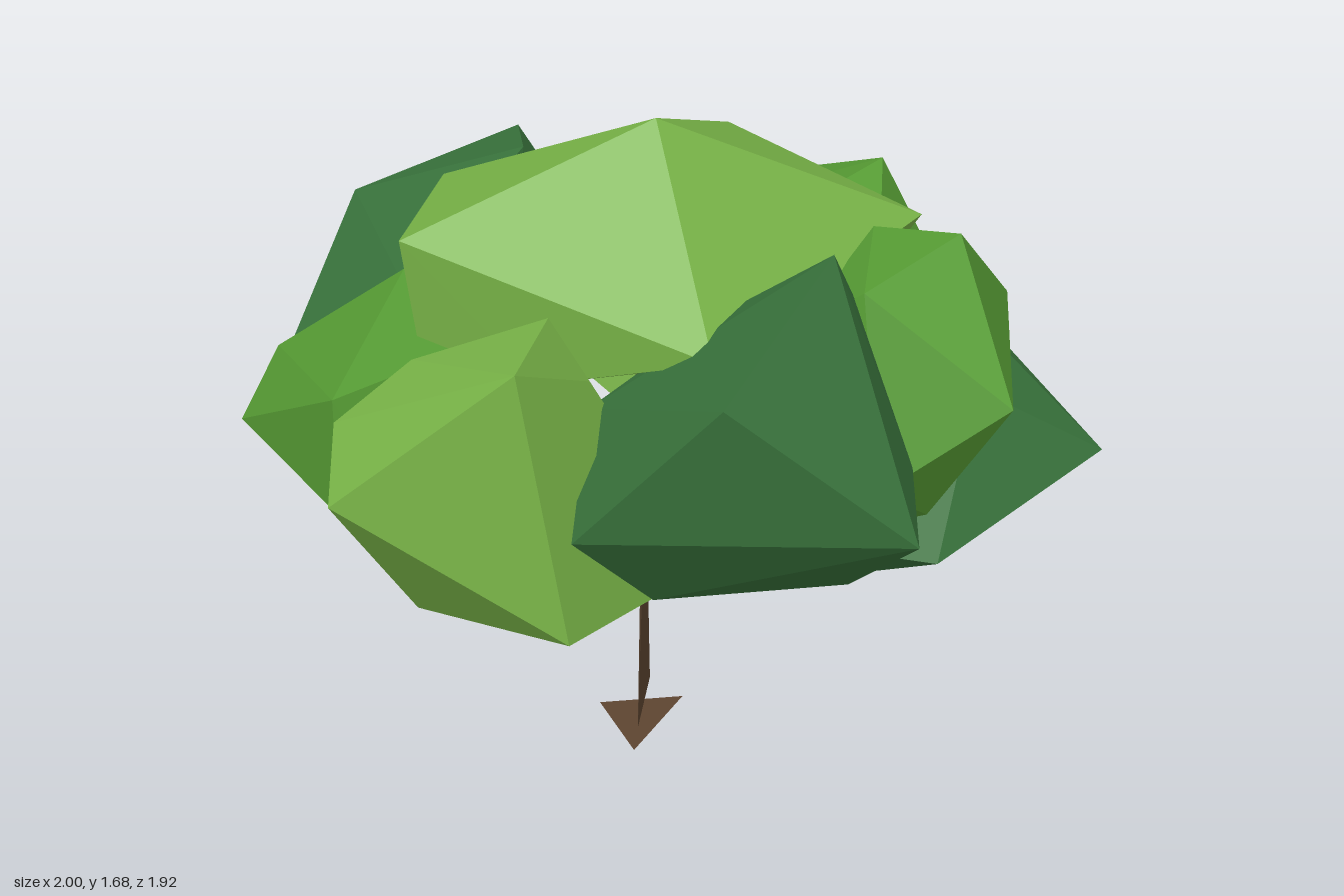
import * as THREE from 'three';
import { ConvexGeometry } from 'three/addons/geometries/ConvexGeometry.js';

const material = (color) => new THREE.MeshStandardMaterial({ color, flatShading: true });
const pine = material(0x37703a);
const green = material(0x559a33);
const lime = material(0x78b347);
const bark = material(0x5c4430);
const vec = (p) => new THREE.Vector3(...p);

// Faceted solid wrapped around a handful of corner points
function hull(name, mat, points) {
  const mesh = new THREE.Mesh(new ConvexGeometry(points.map(vec)), mat);
  mesh.name = name;
  return mesh;
}

// Three-sided tapering branch between two points
function branch(from, to) {
  const a = vec(from), dir = vec(to).sub(a);
  const geo = new THREE.CylinderGeometry(0.008, 0.02, dir.length(), 3);
  const mesh = new THREE.Mesh(geo, bark);
  mesh.name = 'branch';
  mesh.position.copy(a).addScaledVector(dir, 0.5);
  mesh.quaternion.setFromUnitVectors(new THREE.Vector3(0, 1, 0), dir.normalize());
  return mesh;
}

export function createModel() {
  const tree = new THREE.Group();
  tree.name = 'tree';

  // Trunk, a tapered triangular prism
  tree.add(hull('trunk', bark, [
    [-0.09, 0.065, 0.1], [-0.02, 0.065, -0.13], [-0.04, 0.065, -0.12],
    [-0.06, 0.57, 0.025], [-0.04, 0.57, -0.05], [-0.055, 0.57, -0.045],
  ]));

  // Loose triangle on the ground below the trunk
  const base = new THREE.BufferGeometry().setFromPoints(
    [[-0.1, 0, 0.1], [0.06, 0.017, -0.1], [-0.155, 0.022, -0.1]].map(vec));
  base.computeVertexNormals();
  const baseMat = bark.clone();
  baseMat.side = THREE.DoubleSide;
  const baseMesh = new THREE.Mesh(base, baseMat);
  baseMesh.name = 'groundTriangle';
  tree.add(baseMesh);

  // Branches fanning out into the foliage
  for (const tip of [
    [-0.32, 0.9, -0.08], [-0.3, 0.95, 0.25], [0.05, 1.0, 0.3],
    [0.38, 0.95, 0.12], [0.2, 1.0, -0.32], [-0.06, 1.2, -0.05],
  ]) tree.add(branch([-0.05, 0.54, -0.01], tip));

  // Foliage clumps
  tree.add(
    hull('crownFoliage', lime, [
      [-0.05, 1.68, 0.15], [0.58, 1.39, 0.1], [0.26, 1.4, -0.57],
      [-0.47, 1.35, -0.46], [-0.63, 1.45, 0.2], [0, 1.27, 0.57], [-0.6, 1.22, 0.2],
      [0.48, 1.2, -0.1], [0.35, 1.15, -0.38], [-0.35, 1.12, -0.3], [0.3, 1.1, 0.2],
      [-0.35, 1.15, 0.35],
    ]),
    hull('frontFoliage', pine, [
      [0.26, 1.5, 0.56], [-0.34, 0.98, 0.78], [0.36, 1.0, 0.96], [-0.04, 1.31, 0.88],
      [0.43, 1.02, 0.64], [-0.25, 1.12, 0.43], [0.05, 1.3, 0.38], [0.2, 1.35, 0.38],
      [0.33, 1.36, 0.46], [-0.15, 0.77, 0.68], [0.3, 0.73, 0.62], [0, 0.78, 0.4],
    ]),
    hull('leftLowFoliage', pine, [
      [1.0, 0.83, 0.27], [0.81, 0.65, -0.28], [0.81, 1.0, -0.27], [0.72, 1.1, -0.06],
      [0.68, 1.02, 0.28], [0.3, 0.45, 0.1], [0.51, 0.75, 0.6], [0.25, 0.74, 0.45],
      [0.12, 0.74, 0.2], [0.3, 0.9, -0.1], [0.36, 0.65, -0.25],
    ]),
    hull('leftHighFoliage', green, [
      [0.82, 1.15, 0.03], [0.63, 1.17, 0.7], [0.6, 1.44, 0.35], [0.44, 1.41, 0.2],
      [0.22, 1.25, 0.38], [0.5, 0.84, 0.53], [0.64, 1.2, -0.07], [0.36, 0.95, 0.62],
      [0.36, 0.78, 0.46], [0.45, 0.85, 0.05], [0.35, 1.37, 0.48], [0.6, 0.95, 0.48],
    ]),
    hull('backLeftFoliage', green, [
      [0.62, 1.34, -0.41], [0.49, 1.19, -0.77], [0.79, 1.0, -0.36], [0.52, 1.19, -0.03],
      [0.42, 0.57, -0.36], [0.19, 1.1, -0.74], [0.13, 0.68, -0.25], [0.25, 1.2, -0.3],
      [0.6, 0.75, -0.28],
    ]),
    hull('backFoliage', lime, [
      [0.05, 1.24, -0.96], [-0.34, 1.15, -0.74], [0.39, 1.2, -0.46], [-0.1, 1.35, -0.5],
      [0.21, 0.63, -0.57], [-0.2, 0.84, -0.57], [-0.03, 0.74, -0.3], [-0.3, 1.0, -0.35],
    ]),
    hull('backRightFoliage', pine, [
      [-0.26, 1.39, -0.67], [-0.68, 1.27, -0.6], [-0.5, 0.97, -0.82], [-0.9, 0.96, -0.24],
      [-0.28, 1.43, -0.4], [-0.13, 1.2, -0.52], [-0.6, 1.2, -0.12], [-0.3, 0.8, -0.55],
      [-0.35, 0.85, -0.25],
    ]),
    hull('rightFoliage', green, [
      [-1.0, 0.89, -0.13], [-0.9, 1.02, -0.25], [-0.8, 1.13, 0.31], [-0.8, 0.85, 0.33],
      [-0.64, 0.61, -0.27], [-0.6, 1.25, -0.12], [-0.28, 0.69, 0.05], [-0.3, 1.2, 0.1],
      [-0.6, 0.75, 0.35], [-0.88, 0.86, -0.23], [-0.35, 0.78, -0.2],
    ]),
    hull('frontRightFoliage', lime, [
      [-0.83, 0.97, 0.51], [-0.44, 1.34, 0.7], [-0.35, 0.74, 0.79], [-0.33, 1.33, 0.4],
      [-0.25, 1.2, 0.46], [-0.64, 0.64, 0.4], [0.02, 0.71, 0.45], [-0.62, 1.2, 0.28],
      [-0.8, 1.08, 0.32], [-0.1, 0.74, 0.2],
    ]),
  );
  return tree;
}
